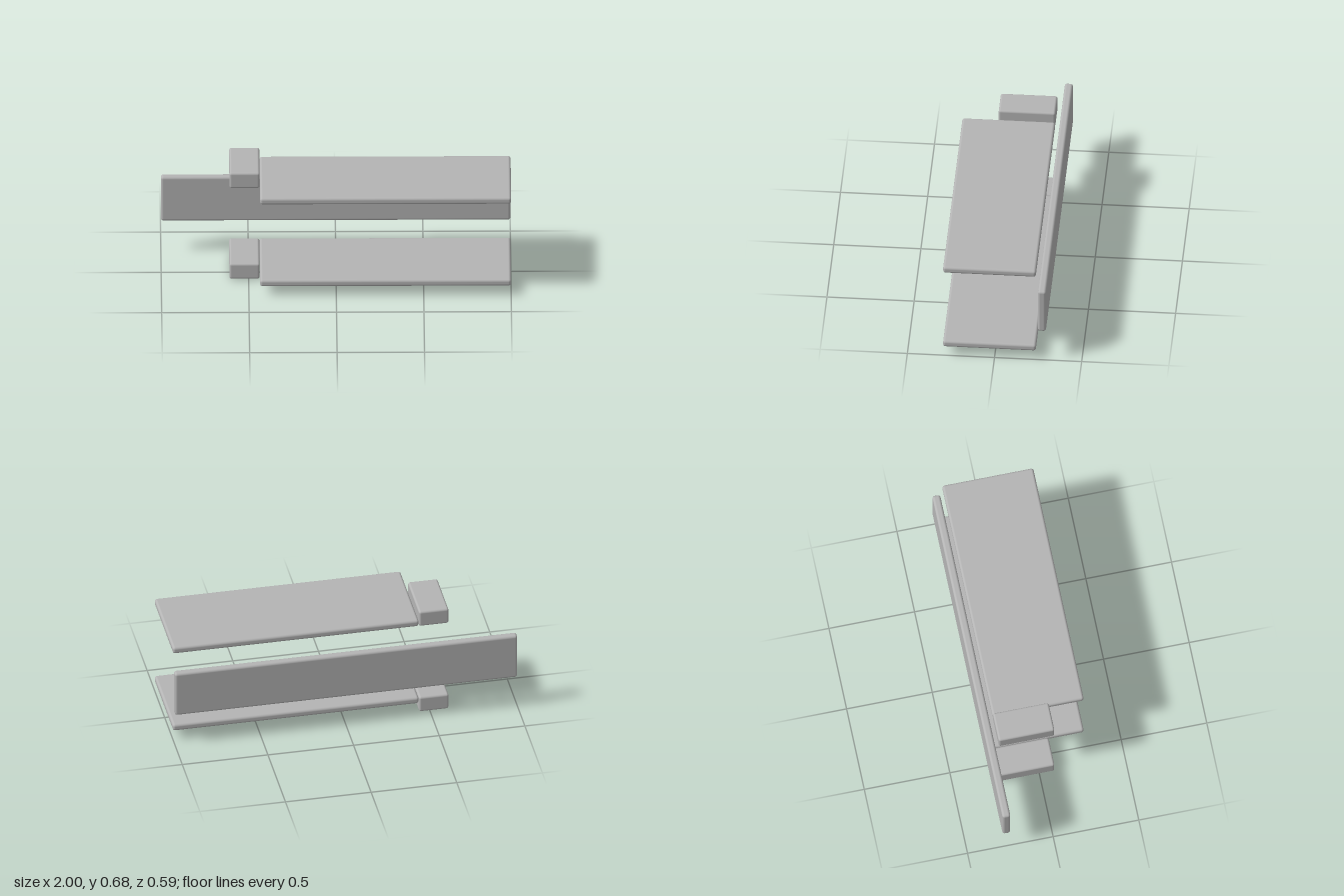
import * as THREE from 'three';
import { RoundedBoxGeometry } from 'three/addons/geometries/RoundedBoxGeometry.js';

export function createModel() {
  const group = new THREE.Group();
  const grey = new THREE.MeshStandardMaterial({ color: 0xb4b4b4 });
  grey.name = 'plain grey';

  // Soft-edged slab given by its extents on each axis
  function slab(name, [x0, x1], [y0, y1], [z0, z1], radius) {
    const geometry = new RoundedBoxGeometry(x1 - x0, y1 - y0, z1 - z0, 3, radius);
    const mesh = new THREE.Mesh(geometry, grey);
    mesh.name = name;
    mesh.position.set((x0 + x1) / 2, (y0 + y1) / 2, (z0 + z1) / 2);
    group.add(mesh);
  }

  // Upright panel at the back
  slab('backPanel', [-1, 1], [0.2, 0.484], [-0.295, -0.248], 0.015);

  // Shelves and end blocks, mirrored about the middle height
  const height = 0.683;
  const mirrorY = ([a, b]) => [height - b, height - a];
  const shelfY = [0.584, 0.626];
  const blockY = [0.584, height];
  for (const [prefix, place] of [['upper', (r) => r], ['lower', mirrorY]]) {
    slab(prefix + 'Shelf', [-0.436, 1], place(shelfY), [-0.237, 0.296], 0.015);
    slab(prefix + 'Block', [-0.61, -0.437], place(blockY), [-0.237, 0.089], 0.013);
  }
  return group;
}
